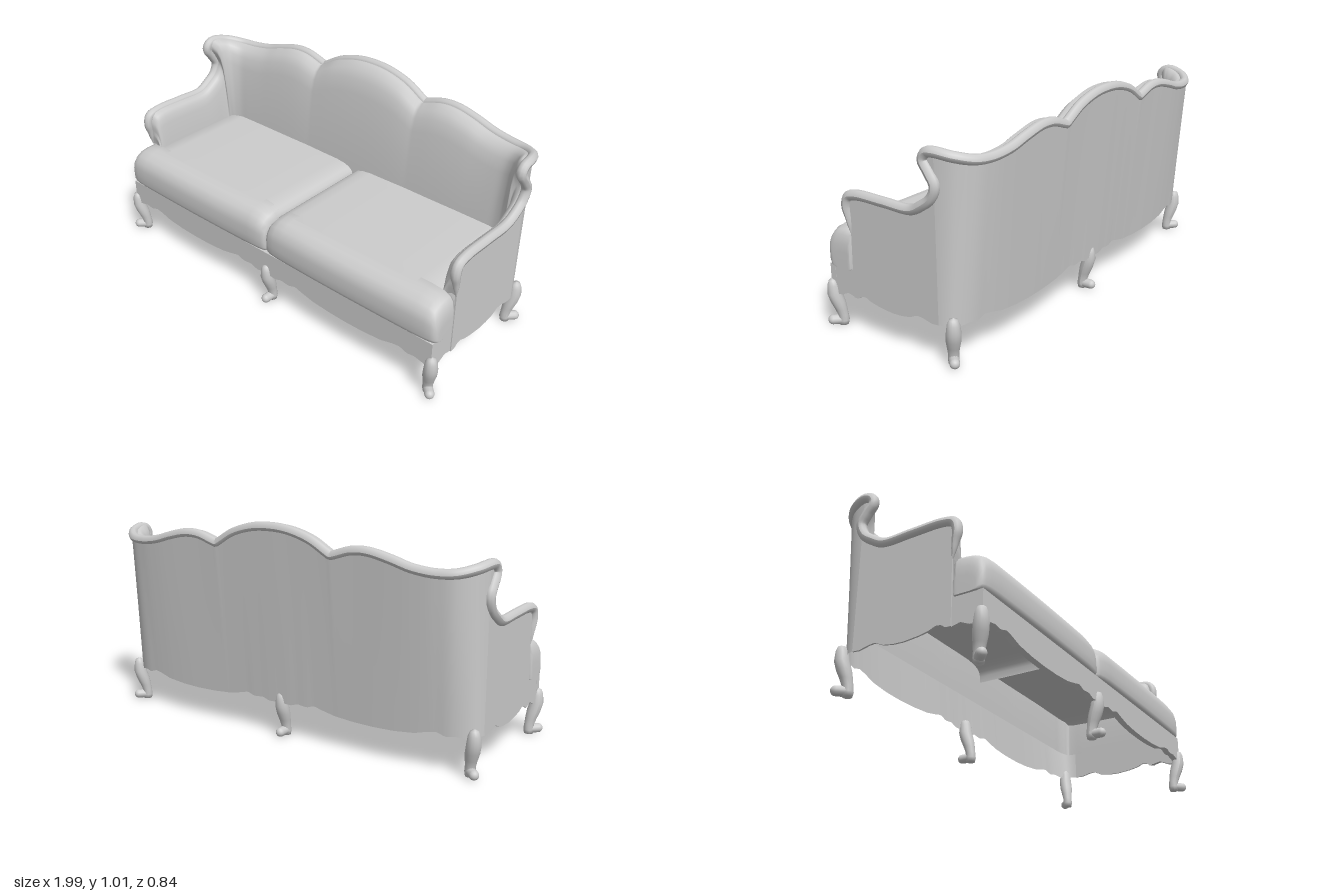
import * as THREE from 'three';

const upholstery = new THREE.MeshStandardMaterial({ color: 0xcccccc, side: THREE.DoubleSide });
upholstery.name = 'light grey';

// Half of the frame, arm front to back centre: crest x, y, z and seat line x, z
const rows = [
  [.967, .46, .245, .89, .24], [.967, .53, .255, .89, .24], [.967, .585, .264, .89, .235],
  [.967, .625, .25, .89, .22], [.967, .64, .2, .89, .18], [.967, .64, .05, .89, .05],
  [.967, .64, -.1, .89, -.09], [.97, .67, -.16, .89, -.15], [.97, .71, -.21, .89, -.2],
  [.972, .765, -.23, .887, -.228], [.972, .81, -.205, .884, -.232], [.97, .86, -.172, .88, -.235],
  [.97, .89, -.19, .873, -.238], [.97, .898, -.225, .865, -.24], [.944, .885, -.3, .845, -.245],
  [.88, .867, -.355, .81, -.25], [.8, .863, -.375, .76, -.25], [.7, .875, -.385, .68, -.25],
  [.6, .903, -.39, .6, -.25], [.5, .924, -.392, .5, -.25], [.42, .922, -.392, .42, -.25],
  [.335, .897, -.392, .335, -.25], [.315, .892, -.392, .315, -.25], [.295, .902, -.392, .295, -.25],
  [.21, .95, -.395, .21, -.25], [.1, .982, -.397, .1, -.25], [0, .99, -.398, 0, -.25],
];
const full = [...rows, ...rows.slice(0, -1).reverse().map(([x, y, z, sx, sz]) => [-x, y, z, -sx, sz])];
const last = full.length - 1;
const crest = new THREE.CatmullRomCurve3(full.map(r => new THREE.Vector3(r[0], r[1], r[2])));
const seatLine = new THREE.CatmullRomCurve3(full.map(r => new THREE.Vector3(r[3], .28, r[4])));
const WING = 13; // row where the flat side becomes the rounded corner

// Linear lookup in [key, value] pairs with rising keys
function lookup(pairs, k) {
  if (k <= pairs[0][0]) return pairs[0][1];
  for (let i = 1; i < pairs.length; i++) {
    const [a, va] = pairs[i - 1], [b, vb] = pairs[i];
    if (k <= b) return va + (vb - va) * (k - a) / (b - a);
  }
  return pairs[pairs.length - 1][1];
}

// Scalloped lower edges
const longScallop = [[0, .17], [.06, .165], [.1, .178], [.15, .172], [.19, .186], [.23, .175], [.3, .16],
  [.4, .152], [.5, .15], [.6, .153], [.7, .163], [.76, .18], [.8, .186], [.84, .172], [.88, .178], [.94, .165]];
const sideScallop = [[-.32, .16], [-.25, .175], [-.19, .17], [-.14, .182], [-.11, .184], [-.07, .165],
  [-.02, .157], [.03, .155], [.1, .162], [.15, .172], [.18, .185], [.205, .182], [.225, .167],
  [.25, .166], [.29, .175], [.33, .157], [.385, .148]];
const longEdge = x => lookup(longScallop, Math.abs(x));
const sideEdge = z => lookup(sideScallop, z);

// Smooth surface from (nu + 1) x (nv + 1) points
function grid(nu, nv, point) {
  const pos = [], index = [];
  for (let i = 0; i <= nu; i++) for (let j = 0; j <= nv; j++) pos.push(...point(i, j));
  for (let i = 0; i < nu; i++) for (let j = 0; j < nv; j++) {
    const a = i * (nv + 1) + j, b = a + nv + 1;
    index.push(a, a + 1, b, b, a + 1, b + 1);
  }
  const g = new THREE.BufferGeometry();
  g.setAttribute('position', new THREE.Float32BufferAttribute(pos, 3));
  g.setIndex(index);
  g.computeVertexNormals();
  return g;
}

// Thin plate outlined in (z, y), inner face at x - thickness
function sidePlate(points, x, thickness) {
  const g = new THREE.ExtrudeGeometry(new THREE.Shape(points), { depth: thickness, bevelEnabled: false });
  return g.rotateY(-Math.PI / 2).translate(x, 0, 0);
}

// Scalloped edge points between two z values
function sideRun(z0, z1, n = 60) {
  return Array.from({ length: n + 1 }, (_, i) => {
    const z = z0 + (z1 - z0) * i / n;
    return new THREE.Vector2(z, sideEdge(z));
  });
}

// Moulding that thins out toward the arm fronts
function mouldingGeometry() {
  const n = 340, sides = 10;
  const g = new THREE.TubeGeometry(crest, n, .023, sides);
  const p = g.attributes.position, v = new THREE.Vector3();
  for (let i = 0; i < p.count; i++) {
    const c = crest.getPointAt(Math.floor(i / (sides + 1)) / n);
    const size = lookup([[.46, .1], [.5, .5], [.57, .95], [.6, 1]], c.y);
    v.fromBufferAttribute(p, i).sub(c).multiplyScalar(size).add(c);
    p.setXYZ(i, v.x, v.y, v.z);
  }
  g.computeVertexNormals();
  return g;
}

// Rounded front roll of a cushion, overlapping the arm front
const rollProfile = [[.255, .29], [.32, .29], [.38, .291], [.395, .297], [.402, .315], [.403, .35], [.403, .39],
  [.396, .425], [.375, .457], [.342, .475], [.3, .482], [.262, .482], [.25, .47], [.25, .38], [.25, .3], [.255, .29]];
const rollSize = [[.002, 0], [.002, .6], [.008, .8], [.025, .9], [.06, .97], [.11, 1], [.3, 1], [.5, 1], [.7, 1],
  [.86, 1], [.92, .97], [.95, .9], [.966, .8], [.974, .6], [.976, .4], [.976, 0]];
const rollGeometry = () => grid(rollSize.length - 1, rollProfile.length - 1, (i, j) => {
  const [x, s] = rollSize[i], [z, y] = rollProfile[j];
  const bow = z > .35 ? .006 * Math.sin(Math.PI * x / .976) - .003 : 0;
  return [x, .29 + (y - .29) * s, .29 + (z + bow - .29) * (.4 + .6 * s)];
});

// Open-bottomed seat sheet behind the roll, dipping at the seam and at the arm
const seatHeight = [[.002, .4], [.004, .43], [.012, .452], [.03, .466], [.06, .476], [.11, .482], [.3, .484],
  [.6, .484], [.8, .482], [.87, .474], [.9, .45]];
const seatGeometry = () => grid(seatHeight.length - 1, 8, (i, j) => [...seatHeight[i], .3 - .57 * j / 8]);

// Curved leg that leans in toward the foot, with a toe along its own +x
function makeLeg(name, x, z, angle) {
  const leg = new THREE.Group();
  const profile = [[0, 0], [.021, 0], [.024, .02], [.023, .045], [.027, .075], [.032, .11], [.032, .15],
    [.027, .19], [.018, .212], [0, .22]].map(p => new THREE.Vector2(...p));
  const g = new THREE.LatheGeometry(profile, 14);
  const lean = [[0, -.034], [.03, -.036], [.06, -.03], [.1, -.017], [.15, -.002], [.22, .002]];
  const p = g.attributes.position;
  for (let i = 0; i < p.count; i++) p.setX(i, p.getX(i) + lookup(lean, p.getY(i)));
  g.computeVertexNormals();
  const shaft = new THREE.Mesh(g, upholstery);
  shaft.name = 'legShaft';
  const toe = new THREE.Mesh(new THREE.CapsuleGeometry(.022, .04, 6, 12), upholstery);
  toe.name = 'scrollToe';
  toe.rotation.z = Math.PI / 2;
  toe.position.set(-.008, .022, 0);
  leg.add(shaft, toe);
  leg.name = name;
  leg.position.set(x, 0, z);
  leg.rotation.y = angle;
  return leg;
}

export function createModel() {
  const sofa = new THREE.Group();
  sofa.name = 'sofa';
  const add = (name, geometry) => {
    const m = new THREE.Mesh(geometry, upholstery);
    m.name = name;
    sofa.add(m);
    return m;
  };
  const addPair = (name, geometry) => {
    add(name + 'Left', geometry);
    add(name + 'Right', geometry).scale.x = -1;
  };

  // Rolled moulding along arms, wings and crest
  add('crestMoulding', mouldingGeometry());

  // Padded lining: share of the way to the seat line, share of the drop
  const pad = [[0, 0], [.28, -.02], [.5, .02], [.65, .08], [.76, .18], [.88, .4], [1, .7], [1, 1]];
  add('innerPadding', grid(last * 5, pad.length - 1, (i, j) => {
    const t = i / (last * 5), a = crest.getPoint(t), b = seatLine.getPoint(t), [f, k] = pad[j];
    return [a.x + (b.x - a.x) * f, a.y + (.28 - a.y) * k, a.z + (b.z - a.z) * f];
  }));

  // Leaning outer back with rounded corners
  const t0 = WING / last, columns = (last - 2 * WING) * 8;
  add('outerBack', grid(columns, 6, (i, j) => {
    const a = crest.getPoint(t0 + (1 - 2 * t0) * i / columns), f = j / 6;
    const depth = -.225 - a.z;
    const top = a.z - .1 * depth, bottom = a.z + .31 * depth;
    const low = Math.abs(a.x) > .93 ? sideEdge(bottom) : longEdge(a.x);
    return [a.x, a.y + (low - a.y) * f, top + (bottom - top) * f];
  }));

  // Flat outer sides
  const outline = [];
  for (let i = 0; i <= WING * 6; i++) {
    const p = crest.getPoint(t0 * i / (WING * 6));
    outline.push(new THREE.Vector2(p.z, p.y));
  }
  addPair('outerSide', sidePlate([...outline, ...sideRun(-.225, .25)], .97, .008));

  // Front rail and its short returns to the sides
  const rail = new THREE.Shape();
  rail.moveTo(.966, .292);
  rail.lineTo(-.966, .292);
  for (let i = 0; i <= 160; i++) {
    const x = -.966 + 1.932 * i / 160;
    rail.lineTo(x, longEdge(x));
  }
  add('frontRail', new THREE.ExtrudeGeometry(rail, { depth: .03, bevelEnabled: false }).translate(0, 0, .36));
  addPair('railReturn', sidePlate(
    [new THREE.Vector2(.388, .292), new THREE.Vector2(.24, .292), ...sideRun(.24, .388, 20)], .965, .02));

  // Two T-shaped seat cushions
  addPair('cushionRoll', rollGeometry());
  addPair('cushionSeat', seatGeometry());

  // Legs at the corners and the middle
  const q = Math.PI / 4;
  sofa.add(
    makeLeg('frontLegLeft', .963, .383, -q), makeLeg('frontLegRight', -.963, .383, -3 * q),
    makeLeg('frontLegMiddle', 0, .383, -2 * q),
    makeLeg('backLegLeft', .955, -.29, q), makeLeg('backLegRight', -.955, -.29, 3 * q),
    makeLeg('backLegMiddle', 0, -.33, 2 * q));
  return sofa;
}
